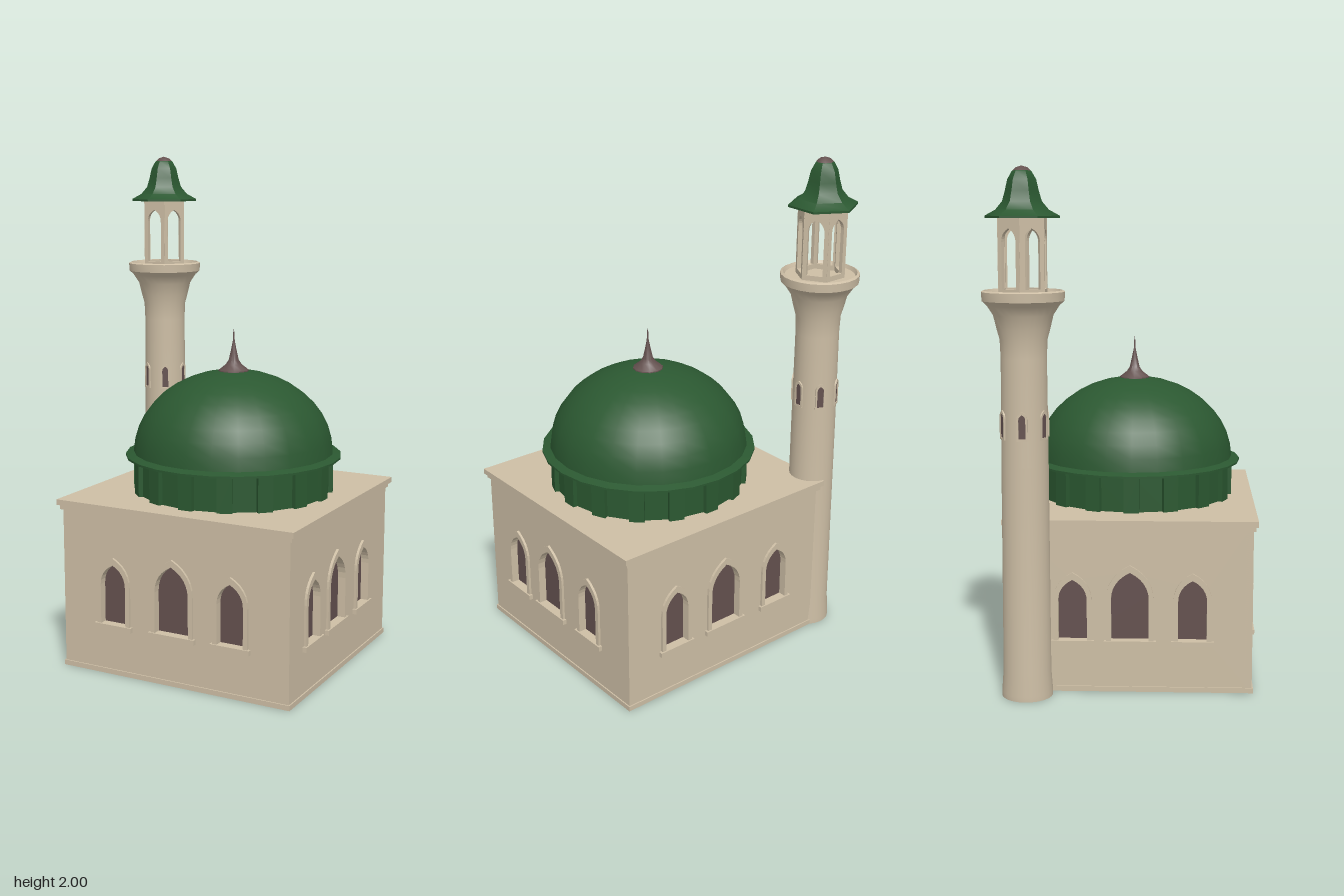
import * as THREE from 'three';
import { toCreasedNormals } from 'three/addons/utils/BufferGeometryUtils.js';

const stone = new THREE.MeshStandardMaterial({ color: 0xcdbea5 });
stone.name = 'stone';
const green = new THREE.MeshStandardMaterial({ color: 0x2b5831 });
green.name = 'green';
const brown = new THREE.MeshStandardMaterial({ color: 0x64514f });
brown.name = 'brown';

function add(parent, name, geometry, material, x = 0, y = 0, z = 0) {
  const mesh = new THREE.Mesh(geometry, material);
  mesh.name = name;
  mesh.position.set(x, y, z);
  parent.add(mesh);
  return mesh;
}

function lathe(profile, sides, crease = 0.6) {
  const points = profile.map(([r, y]) => new THREE.Vector2(r, y));
  return toCreasedNormals(new THREE.LatheGeometry(points, sides), crease);
}

// Pointed arch outline standing on y0, drawn into a Shape or a Path
function arch(path, u, w, y0, y1) {
  const h = w / 2, spring = y1 - w * 0.75;
  path.moveTo(u - h, y0);
  path.lineTo(u + h, y0);
  path.lineTo(u + h, spring);
  path.quadraticCurveTo(u + h, y1 - w * 0.25, u, y1);
  path.quadraticCurveTo(u - h, y1 - w * 0.25, u - h, spring);
  path.lineTo(u - h, y0);
  return path;
}

function rectangle(w, y0, y1) {
  const s = new THREE.Shape();
  s.moveTo(-w / 2, y0);
  s.lineTo(w / 2, y0);
  s.lineTo(w / 2, y1);
  s.lineTo(-w / 2, y1);
  s.closePath();
  return s;
}

const extrude = (shape, depth) =>
  new THREE.ExtrudeGeometry(shape, { depth, bevelEnabled: false, curveSegments: 6 });

// Hall wall with three arched openings, frames and sills, facing local +z
function makeWall(name, width, centres) {
  const wall = new THREE.Group();
  wall.name = name;
  const panel = rectangle(width, 0, 0.67);
  centres.forEach((u, i) => {
    const w = i === 1 ? 0.145 : 0.11, top = i === 1 ? 0.475 : 0.445;
    panel.holes.push(arch(new THREE.Path(), u, w, 0.205, top));
    const frame = arch(new THREE.Shape(), u, w + 0.036, 0.2, top + 0.028);
    frame.holes.push(arch(new THREE.Path(), u, w, 0.205, top));
    add(wall, 'windowFrame', extrude(frame, 0.01), stone);
    add(wall, 'windowSill', new THREE.BoxGeometry(w + 0.055, 0.02, 0.016), stone, u, 0.195, 0.008);
  });
  add(wall, 'wallPanel', extrude(panel, 0.03), stone, 0, 0, -0.03);
  return wall;
}

function makeHall() {
  const hall = new THREE.Group();
  hall.name = 'hall';
  const W = 0.98, D = 0.94;
  const sides = [
    ['frontWall', W, D / 2, 0, [-0.26, 0, 0.25]],
    ['leftWall', D, W / 2, Math.PI / 2, [-0.27, -0.045, 0.215]],
    ['backWall', W, D / 2, Math.PI, [-0.26, -0.01, 0.26]],
    ['rightWall', D, W / 2, -Math.PI / 2, [-0.22, 0, 0.24]],
  ];
  for (const [name, width, out, angle, centres] of sides) {
    const wall = makeWall(name, width, centres);
    wall.rotation.y = angle;
    wall.position.set(Math.sin(angle) * out, 0, Math.cos(angle) * out);
    hall.add(wall);
  }
  // Dark interior seen through the windows
  add(hall, 'windowPanes', new THREE.BoxGeometry(W - 0.044, 0.6, D - 0.044), brown, 0, 0.33, 0);
  add(hall, 'plinth', new THREE.BoxGeometry(W + 0.01, 0.02, D + 0.01), stone, 0, 0.01, 0);
  add(hall, 'corniceStep', new THREE.BoxGeometry(W + 0.018, 0.02, D + 0.018), stone, 0, 0.65, 0);
  add(hall, 'cornice', new THREE.BoxGeometry(W + 0.04, 0.022, D + 0.035), stone, 0, 0.669, 0);
  hall.position.set(0.0825, 0, 0.03);
  return hall;
}

function makeDome() {
  const dome = new THREE.Group();
  dome.name = 'dome';
  add(dome, 'drum', lathe([[0.388, 0.67], [0.388, 0.825]], 16, 0.2), green);
  // Shallow ribs around the drum
  for (let i = 0; i < 16; i++) {
    const a = (i / 16) * Math.PI * 2;
    const rib = add(dome, 'drumRib', new THREE.BoxGeometry(0.06, 0.15, 0.02), green,
      Math.sin(a) * 0.39, 0.75, Math.cos(a) * 0.39);
    rib.rotation.y = a;
  }
  const profile = [[0.385, 0.815], [0.432, 0.822], [0.432, 0.83], [0.4, 0.84]];
  for (let i = 1; i <= 10; i++) {
    const t = (i / 10) * Math.PI / 2;
    profile.push([Math.max(0, 0.398 * Math.cos(t)), 0.84 + 0.325 * Math.sin(t)]);
  }
  add(dome, 'domeShell', lathe(profile, 24), green);
  add(dome, 'finial', lathe([[0.062, 1.152], [0.06, 1.165], [0.032, 1.187], [0.02, 1.205],
    [0.011, 1.245], [0.004, 1.28], [0.003, 1.31], [0, 1.33]], 12), brown);
  dome.position.set(0.1, 0, 0.032);
  return dome;
}

function makeMinaret() {
  const minaret = new THREE.Group();
  minaret.name = 'minaret';
  add(minaret, 'shaft', lathe([[0, 0], [0.098, 0], [0.098, 0.02], [0.092, 0.1], [0.089, 0.9], [0.086, 1.3],
    [0.089, 1.37], [0.1, 1.41], [0.112, 1.46], [0.135, 1.495], [0.153, 1.512], [0.155, 1.545],
    [0.145, 1.55], [0.138, 1.535], [0, 1.535]], 24), stone);
  for (let i = 0; i < 6; i++) {
    // Narrow openings around the shaft
    const slit = new THREE.Group();
    slit.name = 'shaftSlit';
    const hood = arch(new THREE.Shape(), 0, 0.04, 1.0, 1.11);
    hood.holes.push(arch(new THREE.Path(), 0, 0.026, 1.008, 1.098));
    add(slit, 'slitFrame', extrude(hood, 0.008), stone, 0, 0, 0.084);
    add(slit, 'slitPane', extrude(arch(new THREE.Shape(), 0, 0.026, 1.008, 1.098), 0.004), brown, 0, 0, 0.085);
    slit.rotation.y = (i + 0.5) * Math.PI / 3;
    minaret.add(slit);
    // Open lantern: six arched faces
    const face = rectangle(0.099, 1.53, 1.82);
    face.holes.push(arch(new THREE.Path(), 0, 0.064, 1.555, 1.775));
    const side = add(minaret, 'lanternArch', extrude(face, 0.016), stone);
    side.rotation.y = i * Math.PI / 3;
    side.position.set(Math.sin(side.rotation.y) * 0.069, 0, Math.cos(side.rotation.y) * 0.069);
  }
  // Bell-shaped six-sided roof
  add(minaret, 'lanternRoof', lathe([[0, 1.812], [0.138, 1.812], [0.138, 1.82], [0.098, 1.842], [0.073, 1.872],
    [0.062, 1.91], [0.053, 1.95], [0.036, 1.98], [0, 1.994]], 6, 0.75), green);
  add(minaret, 'roofTip', lathe([[0.034, 1.982], [0.022, 1.993], [0, 2.0]], 8), brown);
  minaret.position.set(-0.445, 0, -0.362);
  return minaret;
}

export function createModel() {
  const model = new THREE.Group();
  model.name = 'domedHall';
  model.add(makeHall(), makeDome(), makeMinaret());
  return model;
}
